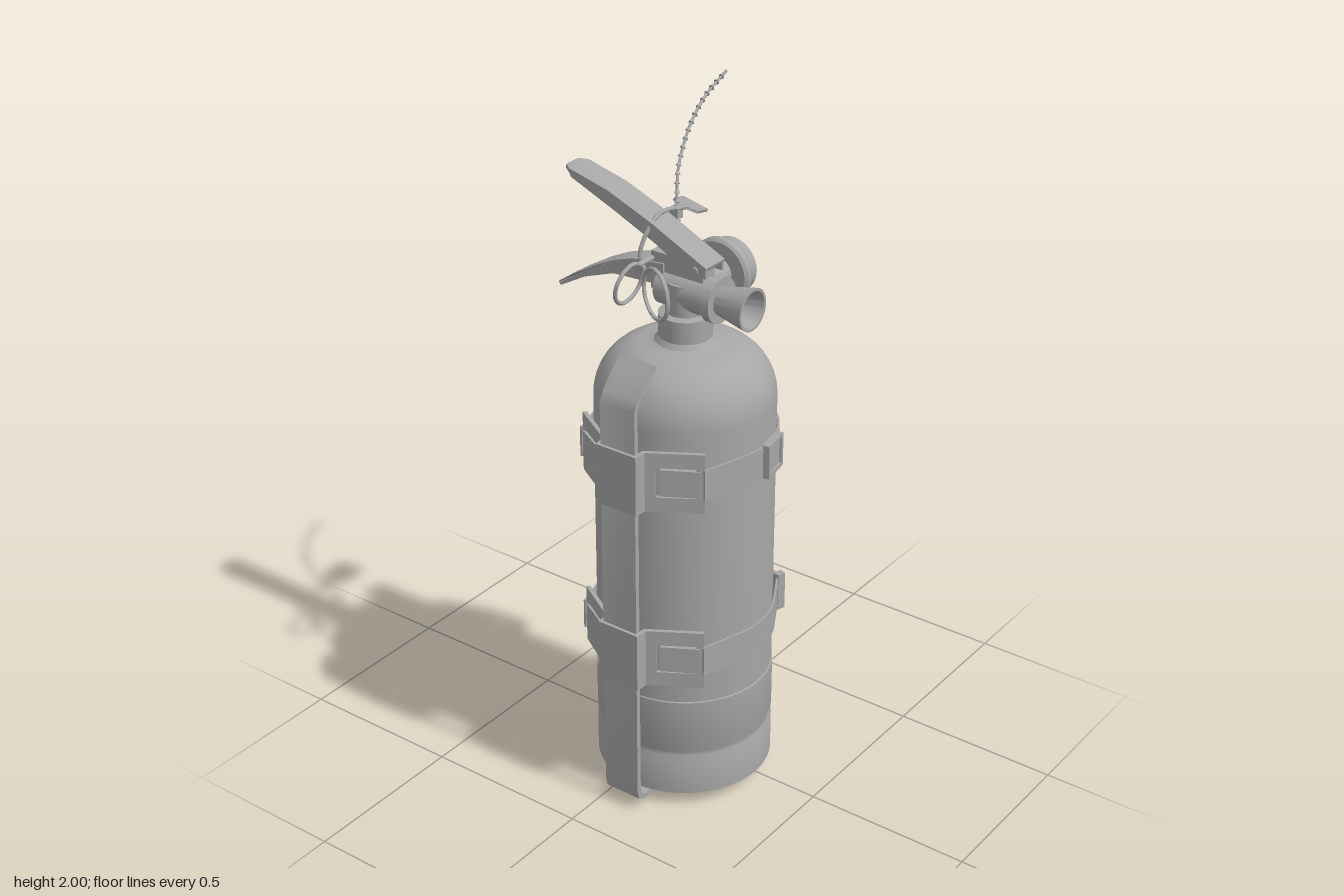
import * as THREE from 'three';
import { toCreasedNormals } from 'three/addons/utils/BufferGeometryUtils.js';

const AX = -0.05, AZ = 0.07; // cylinder axis
const metal = new THREE.MeshStandardMaterial({ color: 0xa6a6a6 });
metal.name = 'grey';

export function createModel() {
  const root = new THREE.Group();
  root.name = 'fireExtinguisher';

  const add = (name, geo, parent = root, crease = 0.5) => {
    const m = new THREE.Mesh(toCreasedNormals(geo, crease), metal);
    m.name = name;
    parent.add(m);
    return m;
  };
  const group = (name) => {
    const g = new THREE.Group();
    g.name = name;
    root.add(g);
    return g;
  };
  const V = (p) => p.map(([a, b]) => new THREE.Vector2(a, b));
  const lathe = (p, seg = 48) => new THREE.LatheGeometry(V(p), seg);

  // Outline of a polyline thickened by t
  const ribbon = (pts, t) => {
    const p = V(pts), left = [], right = [];
    p.forEach((q, i) => {
      const d0 = q.clone().sub(p[Math.max(i - 1, 0)]).normalize();
      const d1 = p[Math.min(i + 1, p.length - 1)].clone().sub(q).normalize();
      const d = d0.clone().add(d1).normalize();
      const n = new THREE.Vector2(-d.y, d.x);
      const k = t / 2 / Math.max(0.5, Math.abs(d.dot(d1.lengthSq() ? d1 : d0)));
      left.push(q.clone().addScaledVector(n, k));
      right.push(q.clone().addScaledVector(n, -k));
    });
    return new THREE.Shape([...left, ...right.reverse()]);
  };
  const extrude = (shape, depth) => new THREE.ExtrudeGeometry(shape, { depth, bevelEnabled: false });
  // Plan path (x, z) raised from y0 to y1
  const wall = (pts, t, y0, y1) =>
    extrude(ribbon(pts.map(([x, z]) => [x, -z]), t), y1 - y0).rotateX(-Math.PI / 2).translate(0, y0, 0);
  // Side profile (z, y) given a width in x
  const sideways = (shape, w, x) => extrude(shape, w).rotateY(-Math.PI / 2).translate(x + w / 2, 0, 0);
  const tube = (name, pts, r, parent) => {
    const c = new THREE.CatmullRomCurve3(pts.map((p) => new THREE.Vector3(...p)));
    add(name, new THREE.TubeGeometry(c, 32, r, 8), parent, 1.2);
    return c;
  };

  // Cylinder with hollow base, pressed groove and domed shoulder
  const body = [[0, 0.13], [0.12, 0.12], [0.2, 0.09], [0.232, 0.045], [0.245, 0.04], [0.256, 0.045],
    [0.256, 0.155], [0.248, 0.172], [0.248, 0.185], [0.256, 0.205], [0.256, 0.36], [0.253, 0.362], [0.253, 1.22]];
  for (let i = 1; i <= 10; i++) {
    const a = (i / 10) * Math.PI / 2;
    body.push([0.1 + 0.153 * Math.cos(a), 1.22 + 0.16 * Math.sin(a)]);
  }
  body.push([0.085, 1.386], [0.075, 1.4], [0.075, 1.465], [0.055, 1.47], [0.055, 1.56], [0, 1.56]);
  add('cylinder', lathe(body, 80).translate(AX, 0, AZ));

  // Valve with flared nozzle, gauge and lever mount
  const valve = group('valve');
  add('nozzle', lathe([[0, 0], [0.055, 0], [0.055, 0.165], [0.065, 0.165], [0.065, 0.19], [0.04, 0.19],
    [0.061, 0.29], [0.053, 0.29], [0.034, 0.21], [0.02, 0.21], [0.02, 0.2], [0, 0.2]])
    .rotateX(Math.PI / 2).translate(AX, 1.53, 0), valve);
  add('gauge', lathe([[0, 0], [0.055, 0], [0.055, 0.11], [0.045, 0.11], [0.045, 0.142], [0.088, 0.142],
    [0.096, 0.15], [0.096, 0.165], [0.08, 0.19], [0.08, 0.212], [0.07, 0.214], [0.068, 0.208], [0, 0.208]])
    .rotateZ(-Math.PI / 2).translate(AX, 1.53, 0.075), valve);
  add('leverMount', new THREE.BoxGeometry(0.056, 0.11, 0.17).translate(AX, 1.575, 0.06), valve);
  add('pivotPin', new THREE.CylinderGeometry(0.012, 0.012, 0.095, 16).rotateZ(Math.PI / 2)
    .translate(AX, 1.615, 0.13), valve);

  // Levers: pressed channels, open underneath, with narrowed tips
  const lever = (name, top, under, w, tip) => {
    const g = group(name);
    const cap = sideways(ribbon(top, 0.012), w, AX);
    const p = cap.attributes.position;
    for (let i = 0; i < p.count; i++) if (p.getZ(i) < tip) p.setX(i, AX + (p.getX(i) - AX) * 0.6);
    add(name + 'Top', cap, g);
    const cheek = new THREE.Shape(V([...top.slice(0, -1), ...under]));
    for (const s of [-1, 1]) add(name + 'Cheek', sideways(cheek, 0.009, AX + s * (w / 2 - 0.0045)), g);
  };
  lever('squeezeLever', [[0.165, 1.625], [0.08, 1.665], [-0.02, 1.712], [-0.16, 1.767], [-0.29, 1.799], [-0.313, 1.802]],
    [[-0.285, 1.782], [-0.14, 1.722], [0, 1.66], [0.11, 1.6], [0.165, 1.6]], 0.084, -0.305);
  lever('carryHandle', [[0.02, 1.597], [-0.08, 1.587], [-0.14, 1.567], [-0.2, 1.538], [-0.28, 1.49], [-0.335, 1.453], [-0.35, 1.44]],
    [[-0.325, 1.45], [-0.25, 1.493], [-0.15, 1.53], [0.02, 1.54]], 0.068, -0.34);

  // Safety pin with two rings
  const pin = group('safetyPin');
  add('pinRod', new THREE.CylinderGeometry(0.007, 0.007, 0.15, 10).rotateZ(Math.PI / 2)
    .translate(-0.06, 1.61, -0.02), pin);
  const ring = (r, x, y, z, rx, ry) => {
    const m = add('pullRing', new THREE.TorusGeometry(r, 0.006, 8, 40), pin, 1.2);
    m.position.set(x, y, z);
    m.rotation.set(rx, ry, 0);
  };
  ring(0.058, -0.172, 1.565, -0.028, 0.2, 0);
  ring(0.07, -0.15, 1.545, 0.045, 0, 1.12);

  // Tamper seal: loop, flat tag and beaded tail
  const seal = group('tamperSeal');
  tube('sealLoop', [[-0.11, 1.58, -0.02], [-0.12, 1.63, -0.03], [-0.08, 1.71, -0.02], [-0.03, 1.73, -0.015],
    [0.04, 1.715, -0.01], [0.06, 1.705, -0.025]], 0.006, seal);
  const tagShape = new THREE.Shape(V([[0, -0.012], [0.05, -0.012], [0.07, -0.04], [0.17, -0.04],
    [0.17, 0.04], [0.08, 0.04], [0.05, 0.012], [0, 0.012]]));
  const tag = add('sealTag', extrude(tagShape, 0.008).rotateX(-Math.PI / 2), seal);
  tag.position.set(0.04, 1.71, -0.025);
  tag.rotation.set(0.35, 0.2, -0.42);
  add('sealHead', new THREE.BoxGeometry(0.025, 0.03, 0.03).translate(0.055, 1.69, -0.04), seal);
  const tail = tube('sealTail', [[-0.01, 1.56, -0.01], [0.03, 1.63, -0.015], [0.06, 1.71, -0.04], [0.1, 1.8, -0.065],
    [0.17, 1.89, -0.08], [0.25, 1.95, -0.088], [0.355, 1.995, -0.09]], 0.004, seal);
  const up = new THREE.Vector3(0, 1, 0);
  for (let i = 0; i < 22; i++) {
    const u = 0.1 + (i / 21) * 0.87;
    const bead = add('sealBead', new THREE.ConeGeometry(0.0085, 0.017, 8), seal, 0.9);
    bead.position.copy(tail.getPointAt(u));
    bead.quaternion.setFromUnitVectors(up, tail.getTangentAt(u));
  }

  // Wall bracket: one bent strip with a hooked top and a foot
  const bracket = group('wallBracket');
  add('bracketStrip', extrude(ribbon([[-0.262, 1.402], [-0.3, 1.365], [-0.335, 1.327], [-0.349, 1.3], [-0.349, 0.07],
    [-0.344, 0.045], [-0.325, 0.034], [0.06, 0.028], [0.15, 0.02], [0.2, 0.009], [0.218, 0.014]], 0.015), 0.115)
    .translate(0, 0, 0.013), bracket);

  // Strap mounts, straps and buckles at two heights
  const polar = (a, r) => [AX + r * Math.cos(a), AZ + r * Math.sin(a)];
  const rad = THREE.MathUtils.degToRad;
  const plate = (name, parent, a, r, y, along, h, thick, shift = 0) => {
    const m = add(name, new THREE.BoxGeometry(thick, h, along), parent);
    const [x, z] = polar(a, r);
    m.position.set(x - Math.sin(a) * shift, y, z + Math.cos(a) * shift);
    m.rotation.y = -a;
  };
  const strapSet = (y, buckleDeg, sliderDeg) => {
    const g = group('strapSet');
    // Mount with a window in each arm
    const mid = [[-0.308, -0.022], [-0.325, 0.006], [-0.36, 0.008], [-0.36, 0.132], [-0.325, 0.134], [-0.308, 0.162]];
    const full = [[-0.238, -0.135], ...mid, [-0.238, 0.275]];
    add('mountLowerRail', wall(full, 0.012, y - 0.09, y - 0.045), g);
    add('mountUpperRail', wall(full, 0.012, y + 0.045, y + 0.09), g);
    add('mountBack', wall(mid, 0.012, y - 0.045, y + 0.045), g);
    add('mountTab', new THREE.BoxGeometry(0.012, 0.04, 0.02).translate(-0.337, y - 0.12, 0.07), g);
    for (const s of [-1, 1]) {
      add('mountEndBar', wall([[-0.238, AZ + s * 0.205], [-0.25, AZ + s * 0.184]], 0.014, y - 0.045, y + 0.045), g);
      add('mountRoller', wall([[-0.246, AZ + s * 0.195], [-0.3, AZ + s * 0.1]], 0.02, y - 0.04, y + 0.04), g);
    }
    // Strap hugging the cylinder, lifted at the buckle
    const b = rad(buckleDeg), path = [[-0.25, -0.14], [-0.235, -0.142]];
    for (let d = -106; d <= 106; d += 4) {
      if (Math.abs(d - buckleDeg) < 45) continue;
      path.push(polar(rad(d), 0.258));
      if (d < buckleDeg && d + 4 > buckleDeg - 45) {
        for (const o of [-20, 20]) path.push(polar(b + rad(o), 0.285));
      }
    }
    path.push([-0.235, 0.282], [-0.25, 0.28]);
    add('strap', wall(path, 0.006, y - 0.046, y + 0.046), g);
    // Side-release buckle
    plate('buckleBody', g, b, 0.275, y, 0.11, 0.125, 0.028);
    for (const s of [-1, 1]) {
      plate('buckleProng', g, b, 0.273, y, 0.05, 0.095, 0.02, s * 0.07);
      plate('buckleEnd', g, b, 0.273, y, 0.022, 0.118, 0.026, s * 0.1);
    }
    // Strap slider
    const a = rad(sliderDeg);
    plate('slider', g, a, 0.263, y, 0.07, 0.075, 0.014);
    for (const s of [-1, 1]) {
      plate('sliderSide', g, a, 0.264, y, 0.012, 0.1, 0.022, s * 0.042);
      const rail = g.children.length;
      plate('sliderRail', g, a, 0.264, y + s * 0.045, 0.09, 0.012, 0.022);
    }
  };
  strapSet(1.085, -15, 79);
  strapSet(0.52, 15, -76);

  return root;
}
